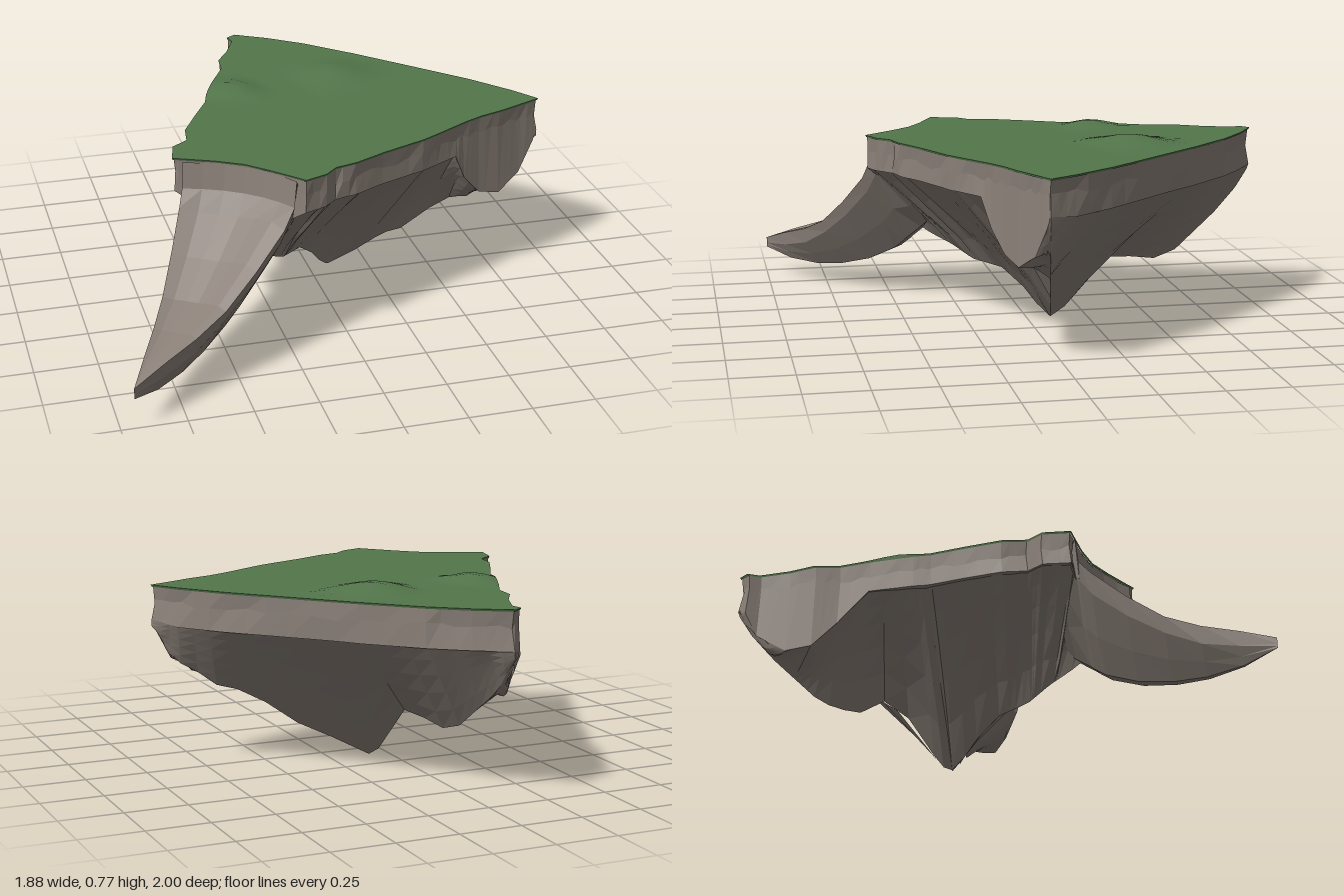
import * as THREE from 'three';

const rock = new THREE.MeshStandardMaterial({ color: 0x8a8078 });
rock.name = 'rock';
const grass = new THREE.MeshStandardMaterial({ color: 0x53764b });
grass.name = 'grass';

const noise = (i, k) => {
  const v = Math.sin(i * 12.9898 + k * 78.233) * 43758.5453;
  return (v - Math.floor(v)) * 2 - 1;
};
const mix = (a, b, t) => a + (b - a) * t;

// Piecewise linear lookup in a list of [position, value]
function curve(points, t) {
  for (let i = 1; i < points.length; i++) {
    const [a, b] = [points[i - 1], points[i]];
    if (t <= b[0]) return mix(a[1], b[1], Math.max(0, (t - a[0]) / (b[0] - a[0])));
  }
  return points[points.length - 1][1];
}

// Closed loops of points joined into a skin
function loft(rings, smooth) {
  const n = rings[0].length, index = [];
  for (let k = 0; k < rings.length - 1; k++) {
    for (let i = 0; i < n; i++) {
      const j = (i + 1) % n;
      const a = k * n + i, b = k * n + j, c = b + n, d = a + n;
      index.push(a, b, c, a, c, d);
    }
  }
  let geo = new THREE.BufferGeometry();
  geo.setAttribute('position', new THREE.Float32BufferAttribute(rings.flat(2), 3));
  geo.setIndex(index);
  if (!smooth) geo = geo.toNonIndexed();
  geo.computeVertexNormals();
  return geo;
}

function add(group, name, geo, mat) {
  const mesh = new THREE.Mesh(geo, mat);
  mesh.name = name;
  group.add(mesh);
}

// Island outline: x, z, height of the foot of the wall
const OUTLINE = [
  [-0.1, -1, 0.58], [0.03, -0.92, 0.58], [0.17, -0.81, 0.58], [0.35, -0.63, 0.58], [0.56, -0.4, 0.58],
  [0.74, -0.2, 0.58], [0.87, -0.03, 0.58], [0.94, 0.08, 0.6], [0.92, 0.09, 0.55], [0.85, 0.12, 0.43],
  [0.75, 0.165, 0.37], [0.65, 0.2, 0.4], [0.57, 0.24, 0.49], [0.52, 0.27, 0.6], [0.42, 0.33, 0.6],
  [0.35, 0.37, 0.6], [0.16, 0.45, 0.6], [0.03, 0.515, 0.6], [-0.06, 0.54, 0.6], [-0.11, 0.59, 0.6],
  [-0.2, 0.625, 0.6], [-0.23, 0.59, 0.57], [-0.31, 0.5, 0.5], [-0.39, 0.42, 0.45], [-0.49, 0.36, 0.5],
  [-0.6, 0.31, 0.57], [-0.645, 0.29, 0.6], [-0.62, 0.18, 0.6], [-0.555, 0.13, 0.6], [-0.54, 0.03, 0.6],
  [-0.47, -0.11, 0.6], [-0.4, -0.24, 0.6], [-0.38, -0.31, 0.6], [-0.31, -0.48, 0.6], [-0.25, -0.6, 0.48],
  [-0.24, -0.7, 0.38], [-0.18, -0.8, 0.38], [-0.13, -0.92, 0.46], [-0.14, -0.97, 0.56],
];
const CX = 0.08, CZ = -0.1;

// Three steps for each outline edge
const edge = OUTLINE.flatMap((p, i) => {
  const q = OUTLINE[(i + 1) % OUTLINE.length];
  return [0, 1 / 3, 2 / 3].map((t) => p.map((v, c) => mix(v, q[c], t)));
});
const ring = (t, y) => edge.map(([x, z, foot], i) => {
  const px = mix(CX, x, t), pz = mix(CZ, z, t);
  return [px, y(px, pz, foot, i), pz];
});

// Three keels run from the lowest point to the two corners and the spur
const KEELS = [
  [-0.12, -1, [[0, 0], [0.05, 0.01], [0.2, 0.2], [0.33, 0.27], [0.44, 0.19], [0.61, 0.22],
    [0.72, 0.3], [0.83, 0.38], [0.94, 0.48], [1, 0.58]]],
  [0.94, 0.08, [[0, 0], [0.05, 0], [0.14, 0.06], [0.28, 0.14], [0.35, 0.15], [0.5, 0.25], [0.6, 0.3],
    [0.68, 0.3], [0.78, 0.37], [0.9, 0.43], [1, 0.58]]],
  [-0.42, 0.44, [[0, 0], [0.03, 0], [0.16, 0.1], [0.32, 0.18], [0.52, 0.2], [0.66, 0.25],
    [0.82, 0.29], [0.93, 0.33], [1, 0.4]]],
].map(([x, z, profile]) => ({ x, z, profile, angle: Math.atan2(z - CZ, x - CX) }));

// Angle from a to b, turning from the back corner round the front
const turn = (a, b) => (b - a + Math.PI * 4) % (Math.PI * 2);

// Point on a keel that lies under an outline point
const keelPoints = edge.map(([x, z]) => {
  const angle = Math.atan2(z - CZ, x - CX);
  for (let k = 0; k < 3; k++) {
    const from = KEELS[k], to = KEELS[(k + 1) % 3];
    const f = turn(from.angle, angle) / turn(from.angle, to.angle);
    if (f > 1) continue;
    const keel = f < 0.5 ? from : to;
    const s = Math.max(0, (Math.abs(1 - 2 * f) - 0.07) / 0.93);
    return [mix(CX, keel.x, s), curve(keel.profile, s), mix(CZ, keel.z, s)];
  }
});

// Underside loop: t is 1 at the wall and 0 on the keels
const underRing = (t) => edge.map(([x, z, foot], i) => {
  const [kx, ky, kz] = keelPoints[i];
  const fold = noise(Math.floor(i / 2), 1) * 0.02 * Math.sin(Math.PI * t);
  const y = mix(ky, foot, Math.pow(Math.min(1, t / 0.94), foot === 0.58 ? 1 : 0.87)) + fold;
  return [mix(kx, x, t), Math.max(0, y), mix(kz, z, t)];
});

// Two low swells in the turf
const hill = (x, z, hx, hz, r, h) => {
  const d = Math.min(1, Math.hypot(x - hx, z - hz) / r);
  return h * (0.5 + 0.5 * Math.cos(Math.PI * d));
};
const turfHeight = (x, z) =>
  0.738 + hill(x, z, 0.2, -0.4, 0.22, 0.034) + hill(x, z, -0.26, -0.34, 0.16, 0.03);

// Curved, tapering spur with a keel below
function spurGeometry() {
  const TIP = [-0.945, 1.0];
  // along, width, top, side foot, keel
  const STATIONS = [
    [-0.25, 0.7, 0.58, 0.5, 0.4], [-0.1, 0.85, 0.6, 0.54, 0.29], [0, 1, 0.725, 0.57, 0.22],
    [0.015, 1, 0.62, 0.55, 0.21], [0.08, 1, 0.55, 0.48, 0.175], [0.26, 1, 0.425, 0.36, 0.115],
    [0.45, 1, 0.315, 0.26, 0.082], [0.63, 1, 0.255, 0.19, 0.07], [0.82, 1, 0.212, 0.155, 0.08],
    [1, 1, 0.165, 0.14, 0.12],
  ];
  const rings = STATIONS.map(([s, w, top, side, keel], k) => {
    const taper = 1 - Math.max(0, s);
    // across runs from -1 (front edge) to 1 (left edge)
    const point = (across, y) => {
      const e = 0.5 + 0.5 * across * w;
      const sag = 0.035 * taper * (1 - across * across);
      const x = mix(-0.23, -0.61, e), z = mix(0.6, 0.31, e);
      return [mix(x, TIP[0], s) + sag, y, mix(z, TIP[1], s) - sag];
    };
    const steps = [-1, -0.7, -0.35, 0, 0.35, 0.7, 1];
    const upper = steps.map((a, i) =>
      point(a, top + (k > 3 ? noise(i, 4) * 0.014 * taper : 0)));
    const lower = [0.9, 0.5, 0.13, -0.13, -0.5, -0.9].map((a) =>
      point(a, mix(keel, side, Math.pow(Math.abs(a) / 0.9, 1.1))));
    return [...upper, ...lower];
  });
  const last = rings[rings.length - 1];
  const mid = [0, 1, 2].map((c) => last.reduce((sum, p) => sum + p[c], 0) / last.length);
  return loft([...rings, last.map(() => mid)]);
}

export function createModel() {
  const group = new THREE.Group();
  group.name = 'floatingIsland';

  // Grass cap with a thin lip
  const turf = [0, 0.15, 0.3, 0.42, 0.54, 0.66, 0.78, 0.9, 1].map((t) => ring(t, turfHeight));
  turf.push(ring(1, turfHeight), ring(0.995, () => 0.73));
  add(group, 'grassTop', loft(turf, true), grass);

  // Rugged wall, ledge and keeled underside
  const wall = ring(0.985, (x, z, foot, i) => 0.67 + noise(i, 1) * 0.012);
  wall.forEach((p, i) => {
    const s = 1 + noise(Math.floor(i / 2), 3) * 0.01;
    p[0] = mix(CX, p[0], s);
    p[2] = mix(CZ, p[2], s);
  });
  const body = [ring(0.99, () => 0.733), wall];
  for (const t of [0.985, 0.94, 0.8, 0.62, 0.42, 0.2, 0]) body.push(underRing(t));
  add(group, 'rockBody', loft(body), rock);

  add(group, 'rockSpur', spurGeometry(), rock);
  return group;
}
